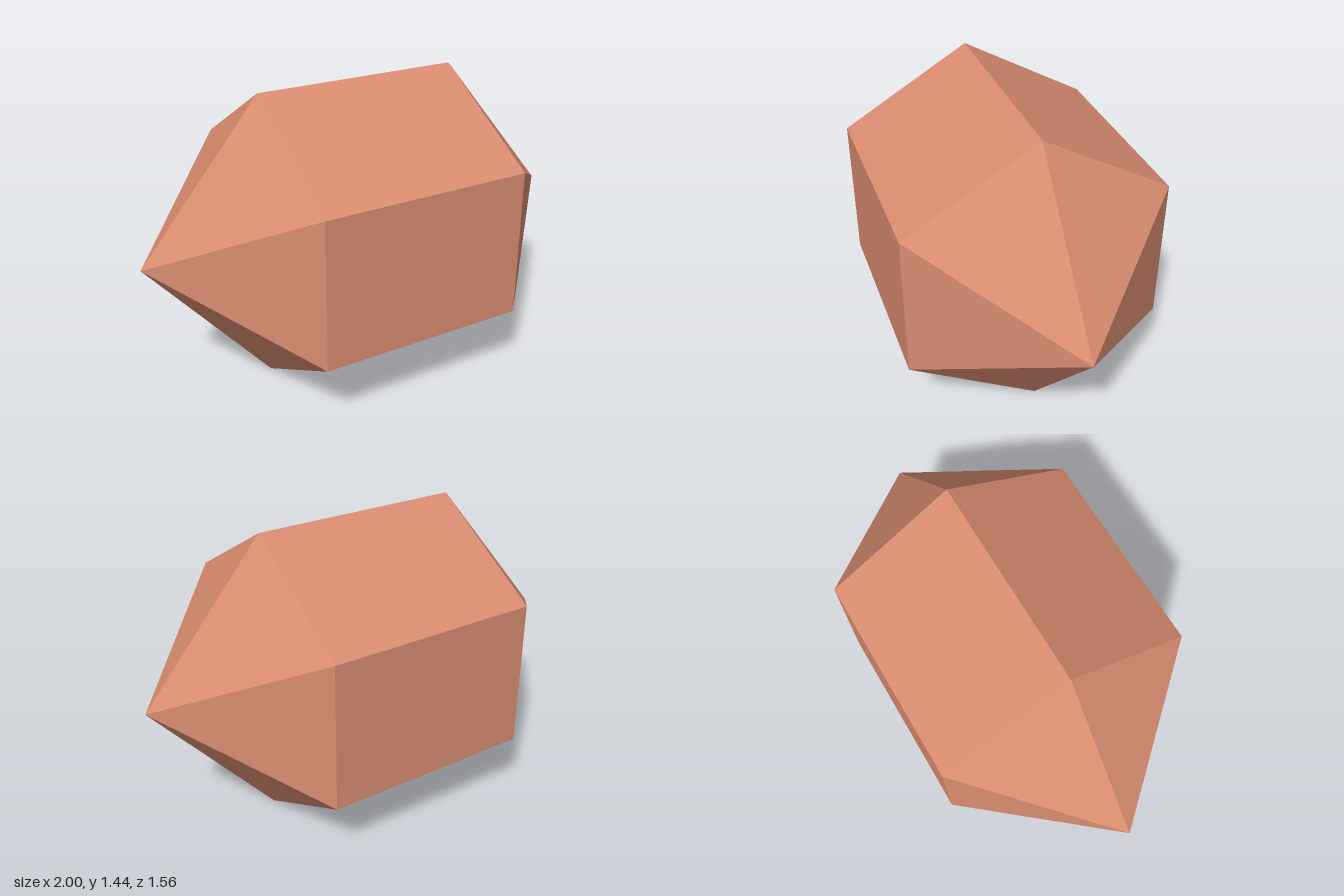
import * as THREE from 'three';

export function createModel() {
  const group = new THREE.Group();
  group.name = 'crystal';

  const terracotta = new THREE.MeshStandardMaterial({ color: 0xd98c70, flatShading: true });
  terracotta.name = 'terracotta';

  // Six-sided prism with a pyramid on each end, turned around its long axis
  const radius = 0.72, halfPrism = 0.507, halfLength = 1.103;
  const profile = [
    [0, -halfLength], [radius, -halfPrism], [radius, halfPrism], [0, halfLength],
  ].map(([r, y]) => new THREE.Vector2(r, y));
  const geometry = new THREE.LatheGeometry(profile, 6, Math.PI / 2);

  // Lay it down with one long edge on the ground, then swing it about the vertical
  geometry.rotateZ(-Math.PI / 2);
  geometry.rotateY(0.434);
  geometry.translate(0, radius, 0);

  const body = new THREE.Mesh(geometry, terracotta);
  body.name = 'crystalBody';
  group.add(body);
  return group;
}
